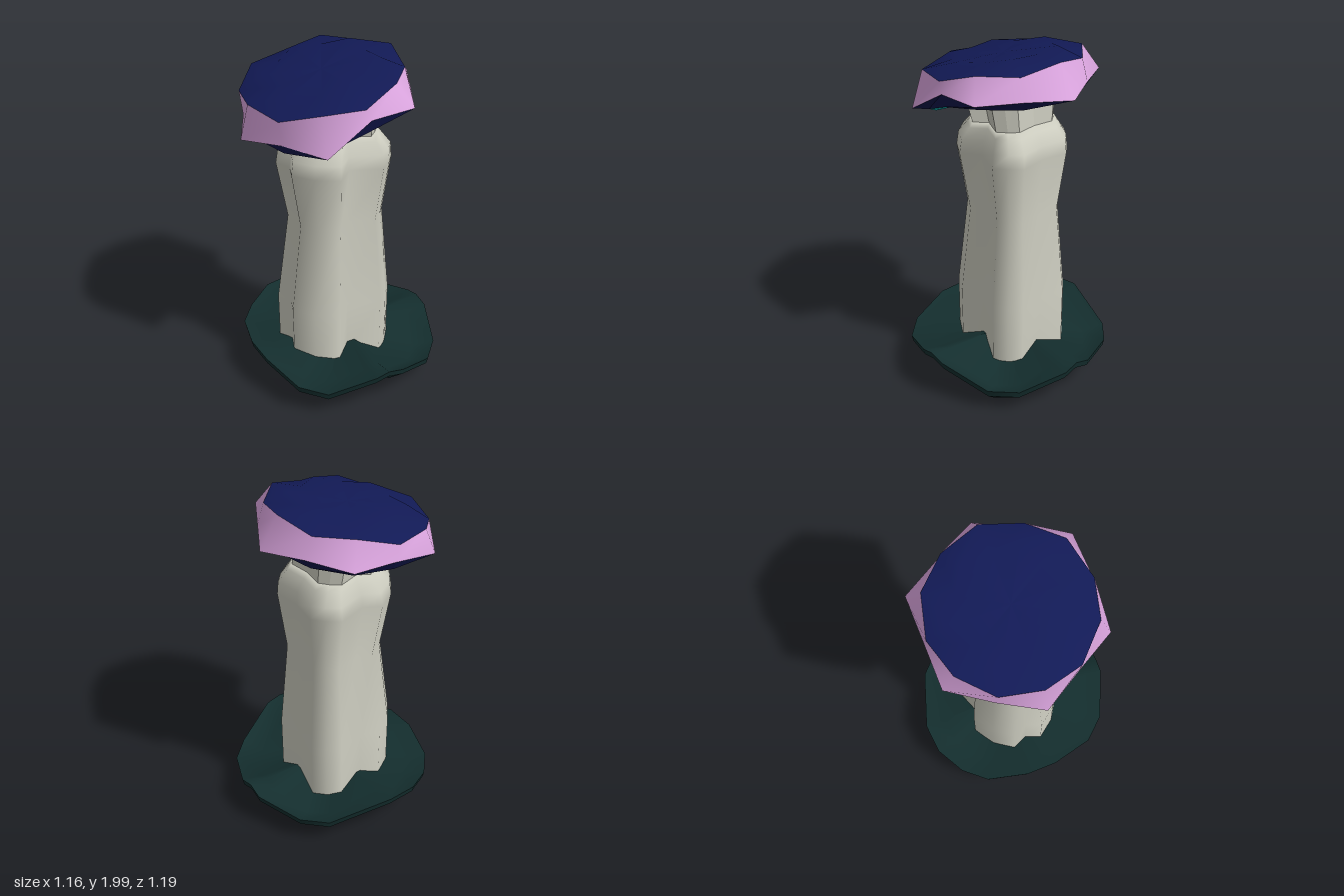
import * as THREE from 'three';

const TAU = Math.PI * 2;

// Skin through closed rings of [x, y, z] points, listed from the underside up
function loft(name, rings, color, flat = false) {
  const n = rings[0].length, index = [];
  for (let r = 0; r < rings.length - 1; r++) {
    for (let j = 0; j < n; j++) {
      const a = r * n + j, b = r * n + (j + 1) % n;
      index.push(a, a + n, b, b, a + n, b + n);
    }
  }
  const geo = new THREE.BufferGeometry();
  geo.setAttribute('position', new THREE.Float32BufferAttribute(rings.flat(2), 3));
  geo.setIndex(index);
  geo.computeVertexNormals();
  const mat = new THREE.MeshStandardMaterial({ color, flatShading: flat, side: THREE.DoubleSide });
  const mesh = new THREE.Mesh(geo, mat);
  mesh.name = name;
  return mesh;
}

// Wavy ground disc: [x, z, rim top height, underside height partway in]
const OUTLINE = [
  [.58, .09, .21, .11], [.47, .35, .14, .01], [.34, .475, .14, .005], [.08, .59, .25, .1],
  [-.02, .592, .275, .17], [-.1, .59, .26, .15], [-.36, .48, .17, .08], [-.48, .345, .18, .1],
  [-.55, .08, .235, .14], [-.55, -.11, .235, .14], [-.48, -.355, .2, .1], [-.365, -.485, .2, .09],
  [-.2, -.58, .24, .11], [-.02, -.595, .25, .15], [.34, -.48, .17, .04], [.465, -.36, .17, .03],
  [.58, -.095, .21, .11], [.578, 0, .235, .145],
];
function makeBase() {
  const base = new THREE.Group();
  base.name = 'base';
  const ring = (s, y) => OUTLINE.map(p => [p[0] * s, y(p), p[1] * s]);
  const rimLow = ring(.985, p => p[2] - .04), rimHigh = ring(1, p => p[2]);
  const color = 0x142e2e;
  base.add(
    loft('baseUnderside', [ring(0, () => .15), ring(.79, p => p[3]), rimLow], color),
    loft('baseRim', [rimLow, rimHigh], color),
    loft('baseTop', [rimHigh, ring(.78, p => p[3] + .08), ring(0, () => .22)], color),
  );
  return base;
}

// Four-lobed cross-section: square lobes on the right (+x), rounder ones on the left,
// with valleys of different depth on the axes (+x, +z, -x, -z)
const VALLEYS = [.9, .7, .86, .8];
const SQUARE = [[30, 1.13], [45, 1.12], [60, 1.13]];
const ROUND = [[18, 1.03], [45, 1], [72, 1.03]];
const LOBES = [SQUARE, ROUND, ROUND, SQUARE];
function lobedRing(cx, cz, rx, rz, y, tilt = 0) {
  return VALLEYS.flatMap((valley, q) => [[0, valley], ...LOBES[q]].map(([deg, r]) => {
    const t = q * TAU / 4 + deg * TAU / 360;
    const x = Math.cos(t) * r * rx;
    return [cx + x, y + x * tilt, cz + Math.sin(t) * r * rz];
  }));
}

function makeStem() {
  // [height, centre x, half width, half depth]
  const profile = [
    [.135, -.045, .312, .285], [.5, -.045, .315, .285], [1.05, -.028, .258, .235],
    [1.4, -.038, .307, .285], [1.48, -.034, .298, .275], [1.55, -.026, .24, .235],
    [1.58, -.024, .215, .22], [1.58, -.024, 0, 0],
  ];
  return loft('stem', profile.map(([y, cx, rx, rz]) => lobedRing(cx, -.03, rx, rz, y)), 0xcfcfc2);
}

function makeNeck() {
  return loft('neck', [
    lobedRing(-.03, -.03, .218, .215, 1.575),
    lobedRing(-.065, -.03, .25, .25, 1.795, .12),
  ], 0xcfcfc2, true);
}

// Cap rings have twelve points; height tables run from +x through +z, -x and -z
const CZ = -.037;
const LOWER_Y = [1.81, 1.82, 1.82, 1.815, 1.66, 1.67, 1.64, 1.66, 1.755, 1.79, 1.81, 1.82];
const UNDER_Y = [1.77, 1.765, 1.765, 1.735, 1.645, 1.62, 1.625, 1.635, 1.7, 1.735, 1.74, 1.76];
const topPlane = x => 1.926 + .176 * x;
const odd = i => i % 2 === 1;

function capRing(cx, radius, height) {
  return Array.from({ length: 12 }, (_, i) => {
    const t = i * TAU / 12, r = radius(i);
    const x = cx + Math.cos(t) * r;
    return [x, height(i, x), CZ + Math.sin(t) * r * 1.02];
  });
}

function makeCap() {
  const cap = new THREE.Group();
  cap.name = 'cap';

  const bowlCentre = capRing(-.07, () => 0, () => 1.82);
  const bowl = capRing(-.07, () => .31, i => UNDER_Y[i] * .7 + .57);
  const lip = capRing(-.07, () => .385, i => UNDER_Y[i] - .012);
  const under = capRing(-.07, () => .425, i => UNDER_Y[i]);
  const lower = capRing(-.06, i => odd(i) ? .452 : .522, i => LOWER_Y[i]);
  const rim = capRing(-.09, () => .442, (i, x) => topPlane(x) - (odd(i) ? .033 : 0));
  const crown = capRing(-.09, i => odd(i) ? .31 : .27, (i, x) => topPlane(x) + (odd(i) ? .042 : .03));
  const crownCentre = capRing(-.09, () => 0, (i, x) => topPlane(x) + .025);

  cap.add(
    loft('gills', [bowlCentre, bowl, lip, under], 0x0ab8ba, true),
    loft('capUnderside', [under, lower], 0x10164a, true),
    loft('capBand', [lower, rim], 0xdca6e0),
    loft('capTop', [rim, crown, crownCentre], 0x121a56),
  );
  return cap;
}

export function createModel() {
  const model = new THREE.Group();
  model.name = 'mushroom';
  model.add(makeBase(), makeStem(), makeNeck(), makeCap());
  return model;
}
